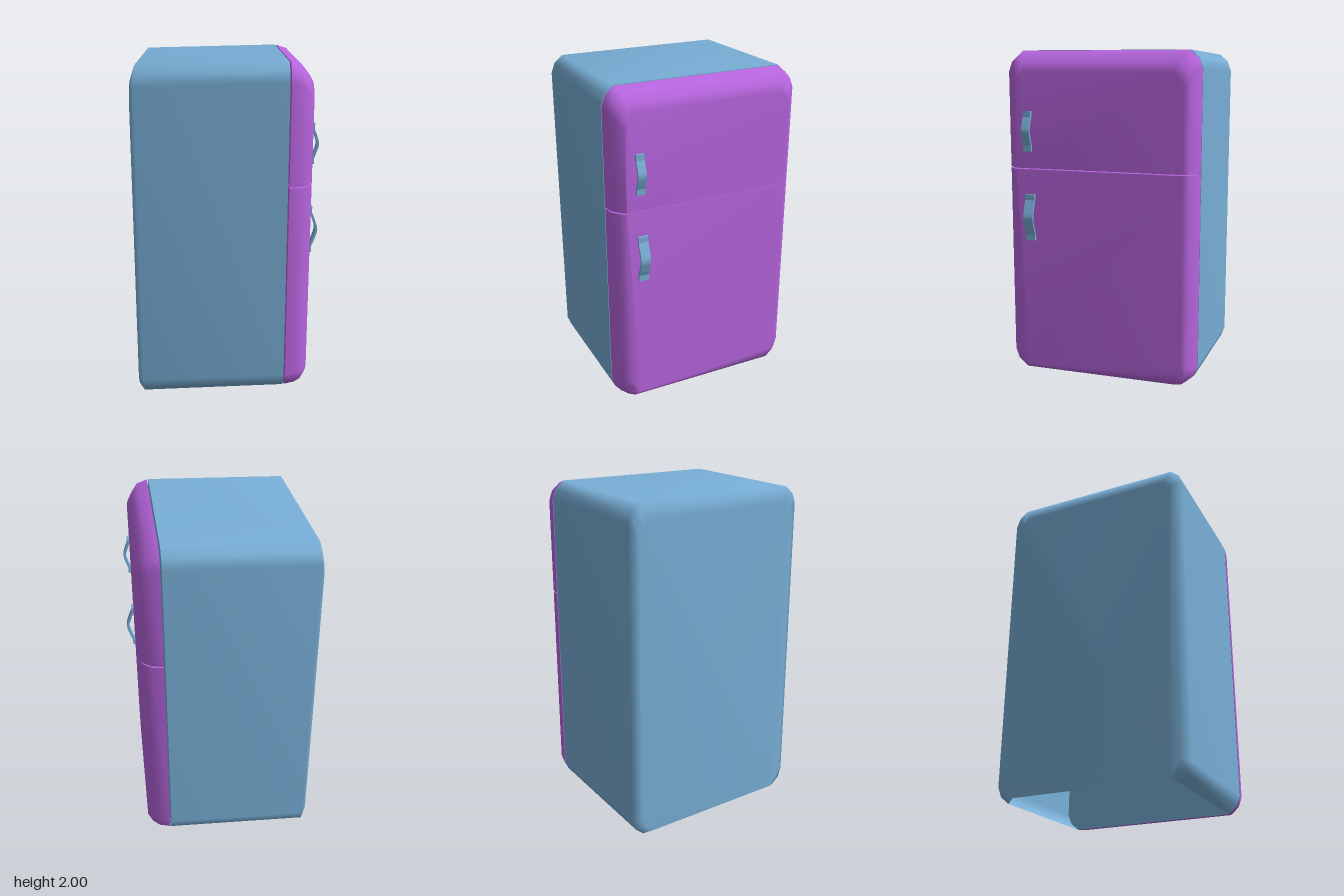
import * as THREE from 'three';

const blue = new THREE.MeshStandardMaterial({ color: 0x78aed6, side: THREE.DoubleSide });
const purple = new THREE.MeshStandardMaterial({ color: 0xb765de });

const HALF = 0.586; // half width in z

// Outline as [z, y] points, up the +z side and down the -z side.
// Each end is either rounded or square (square corners are doubled to stay sharp).
function outline(yb, yt, roundBottom, roundTop) {
  const corner = (y, dir, round) => round
    ? [[0.512, y], [0.564, y + dir * 0.045], [HALF, y + dir * 0.105]]
    : [[HALF, y], [HALF, y]];
  const side = [...corner(yb, 1, roundBottom), ...corner(yt, -1, roundTop).reverse()];
  return [...side, ...side.slice().reverse().map(([z, y]) => [-z, y])];
}

// Place an outline at x, drawn in by dz at the sides and by dTop / dBottom.
function section(x, pts, dz = 0, dTop = 0, dBottom = 0) {
  const ys = pts.map((p) => p[1]);
  const lo = Math.min(...ys), hi = Math.max(...ys);
  return pts.map(([z, y]) => {
    const t = (y - lo) / (hi - lo);
    return [x, y + dBottom * (1 - t) - dTop * t, z * (HALF - dz) / HALF];
  });
}

// Skin sections ordered by rising x and cap both ends; a repeated section gives a sharp edge.
function loft(sections, openBottom = false) {
  const n = sections[0].length;
  const index = [];
  for (let k = 0; k < sections.length - 1; k++) {
    for (let j = 0; j < (openBottom ? n - 1 : n); j++) {
      const a = k * n + j, b = k * n + (j + 1) % n;
      index.push(a, a + n, b, a + n, b + n, b);
    }
  }
  const end = (sections.length - 1) * n;
  for (let j = 1; j < n - 1; j++) {
    index.push(0, j, j + 1);
    index.push(end, end + j + 1, end + j);
  }
  const g = new THREE.BufferGeometry();
  g.setAttribute('position', new THREE.Float32BufferAttribute(sections.flat(2), 3));
  g.setIndex(index);
  g.computeVertexNormals();
  return g;
}

function doorGeometry(pts, roundBottom, roundTop) {
  const back = section(0.35, pts);
  return loft([
    back, back,
    section(0.415, pts, 0.01, roundTop ? 0.02 : 0, roundBottom ? 0.01 : 0),
    section(0.455, pts, 0.043, roundTop ? 0.07 : 0, roundBottom ? 0.02 : 0),
    section(0.484, pts, 0.076, roundTop ? 0.12 : 0, roundBottom ? 0.055 : 0),
  ]);
}

// Bowed strap handle with a flat foot at each end.
function handleGeometry(halfHeight, width, reach) {
  const x0 = 0.482, foot = 0.5, thick = 0.014;
  const h = halfHeight, f = h - 0.035;
  const arc = (offset) => [[foot, f], [foot + reach * 0.55, f * 0.55], [foot + reach, 0],
    [foot + reach * 0.55, -f * 0.55], [foot, -f]].map(([x, y]) => new THREE.Vector2(x - offset, y));
  const s = new THREE.Shape();
  s.moveTo(x0, -h);
  s.lineTo(foot, -h);
  s.lineTo(foot, -f);
  s.splineThru(arc(0).reverse().slice(1));
  s.lineTo(foot, h);
  s.lineTo(x0, h);
  s.lineTo(foot - thick, f);
  s.splineThru(arc(thick).slice(1));
  const g = new THREE.ExtrudeGeometry(s, { depth: width, bevelEnabled: false, curveSegments: 4 });
  g.translate(0, 0, -width / 2);
  return g;
}

export function createModel() {
  const group = new THREE.Group();
  const add = (name, geometry, material) => {
    const mesh = new THREE.Mesh(geometry, material);
    mesh.name = name;
    group.add(mesh);
    return mesh;
  };

  // Hollow cabinet, open underneath, tapering slightly towards the back
  const rear = outline(0, 1.981, true, true);
  const front = section(0.342, outline(0.03, 2, true, true));
  add('cabinet', loft([
    section(-0.537, rear, 0.052, 0.09, 0.02),
    section(-0.505, rear),
    front, front,
  ], true), blue);

  // Doors
  add('lowerDoor', doorGeometry(outline(0.032, 1.302, true, false), true, false), purple);
  add('upperDoor', doorGeometry(outline(1.31, 1.998, false, true), false, true), purple);

  // Handles
  add('upperHandle', handleGeometry(0.118, 0.05, 0.026), blue).position.set(0, 1.53, 0.43);
  add('lowerHandle', handleGeometry(0.14, 0.06, 0.034), blue).position.set(0, 1.015, 0.42);

  return group;
}
